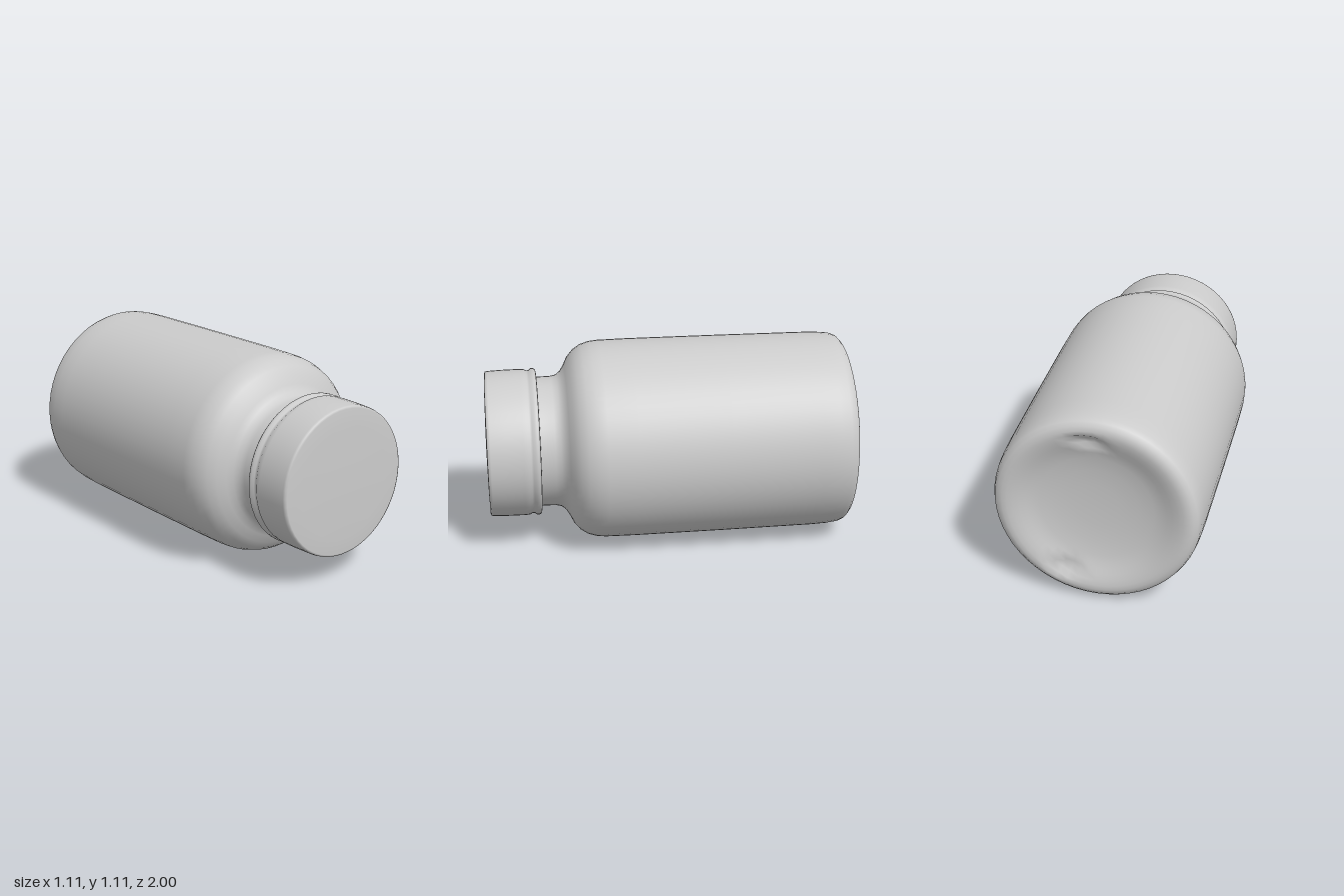
import * as THREE from 'three';
import { mergeVertices } from 'three/addons/utils/BufferGeometryUtils.js';

const AXIS_HEIGHT = 0.554;
const material = new THREE.MeshStandardMaterial({ color: 0xcccccc, side: THREE.DoubleSide });

// Revolves a [radius, z] profile around the z axis, running from back to front.
function turned(name, profile, reshape) {
  const points = profile.map(([r, z]) => new THREE.Vector2(r, z));
  const lathe = new THREE.LatheGeometry(points, 56).rotateX(Math.PI / 2);
  lathe.deleteAttribute('uv');
  lathe.deleteAttribute('normal');
  const geometry = mergeVertices(lathe, 1e-4);
  if (reshape) reshape(geometry.attributes.position);
  geometry.computeVertexNormals();
  const mesh = new THREE.Mesh(geometry, material);
  mesh.name = name;
  mesh.position.y = AXIS_HEIGHT;
  return mesh;
}

// Presses two small notches into the rim of the base recess.
function pressNotches(position) {
  const notches = [[0.03, 0.41], [0.17, -0.38]];
  for (let i = 0; i < position.count; i++) {
    const x = position.getX(i), y = position.getY(i), z = position.getZ(i);
    if (z > -0.9) continue;
    for (const [nx, ny] of notches) {
      const d = Math.hypot((x - nx) / 0.11, (y - ny) / 0.045);
      if (d < 1) position.setZ(i, z + 0.03 * (1 - d * d));
    }
  }
}

export function createModel() {
  const group = new THREE.Group();
  group.name = 'bottle';

  // Dished base, straight wall, rounded shoulder and neck
  group.add(turned('bottleBody', [
    [0, -0.925], [0.12, -0.927], [0.22, -0.933], [0.3, -0.946],
    [0.34, -0.957], [0.37, -0.968], [0.4, -0.98], [0.43, -0.991], [0.46, -0.998],
    [0.485, -0.999], [0.51, -0.992], [0.529, -0.975], [0.54, -0.945], [0.546, -0.89],
    [0.549, -0.8], [0.552, -0.3], [0.553, 0.2], [0.551, 0.36],
    [0.546, 0.41], [0.53, 0.46], [0.504, 0.5], [0.465, 0.533], [0.42, 0.555],
    [0.388, 0.575], [0.368, 0.6], [0.361, 0.63], [0.36, 0.69], [0.36, 0.74],
  ], pressNotches));

  // Cap with a retaining bead, shallow groove and nearly flat front
  group.add(turned('cap', [
    [0.34, 0.712], [0.385, 0.709], [0.4, 0.712], [0.408, 0.722], [0.408, 0.738],
    [0.398, 0.75], [0.397, 0.762], [0.405, 0.775], [0.407, 0.8],
    [0.406, 0.9], [0.403, 0.975], [0.4, 0.988], [0.39, 0.993],
    [0.3, 0.996], [0.15, 0.999], [0, 1],
  ]));

  return group;
}
